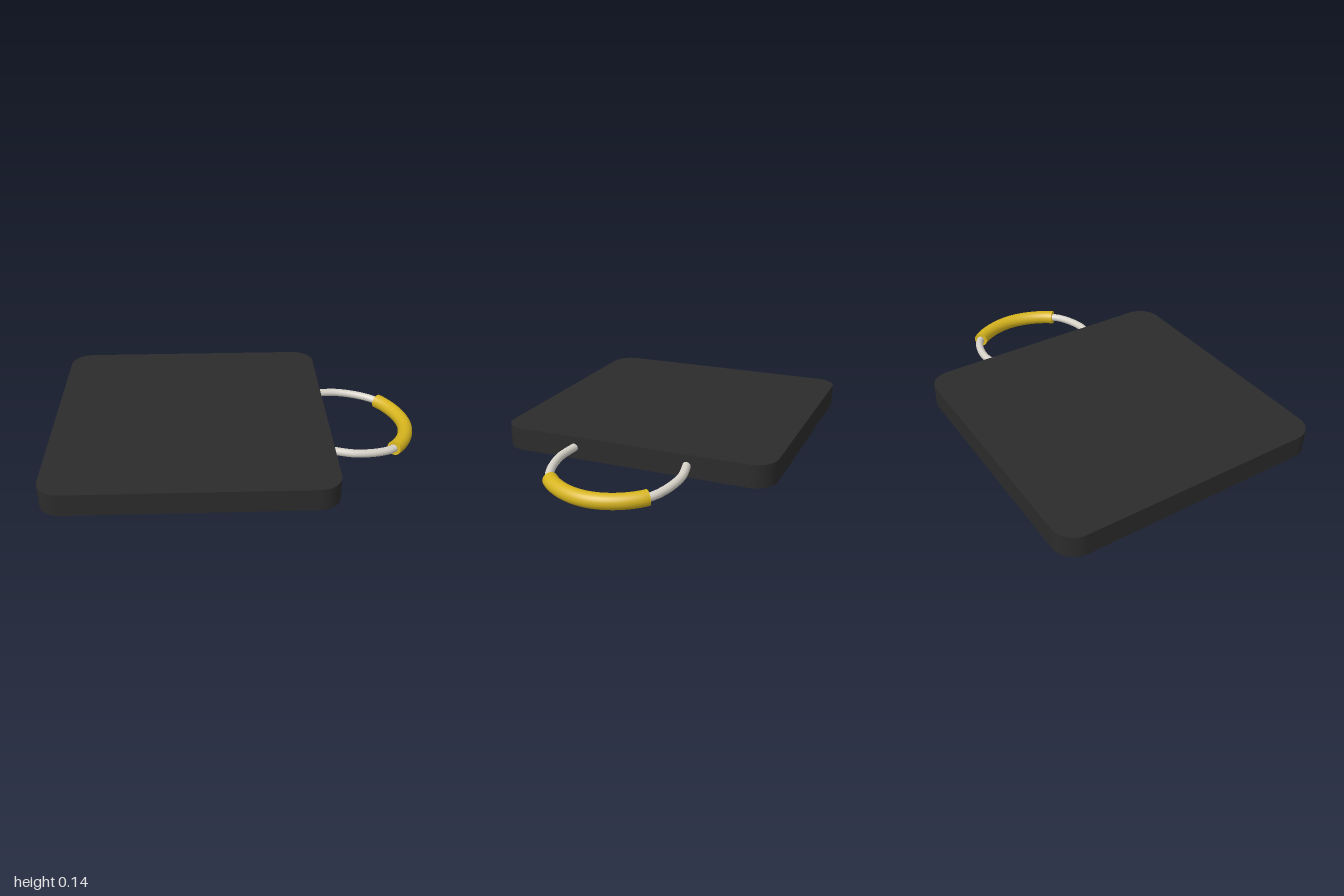
import * as THREE from 'three';

const padMat = new THREE.MeshStandardMaterial({ color: 0x2b2b2b });
padMat.name = 'black plastic';
const ropeMat = new THREE.MeshStandardMaterial({ color: 0xd6d2c8 });
ropeMat.name = 'off-white rope';
const gripMat = new THREE.MeshStandardMaterial({ color: 0xd6b41e });
gripMat.name = 'yellow grip';

function addMesh(parent, name, geometry, material) {
  const mesh = new THREE.Mesh(geometry, material);
  mesh.name = name;
  parent.add(mesh);
  return mesh;
}

// Rounded square slab, extruded upward
function padGeometry(x0, x1, halfZ, r, y0, height) {
  const s = new THREE.Shape();
  s.absarc(x1 - r, halfZ - r, r, 0, Math.PI / 2);
  s.absarc(x0 + r, halfZ - r, r, Math.PI / 2, Math.PI);
  s.absarc(x0 + r, -halfZ + r, r, Math.PI, Math.PI * 1.5);
  s.absarc(x1 - r, -halfZ + r, r, Math.PI * 1.5, Math.PI * 2);
  const geo = new THREE.ExtrudeGeometry(s, { depth: height, bevelEnabled: false, curveSegments: 16 });
  return geo.rotateX(-Math.PI / 2).translate(0, y0, 0);
}

// Flat disc closing a tube end
function addCap(parent, name, point, direction, radius, material) {
  const cap = addMesh(parent, name, new THREE.CircleGeometry(radius, 24), material);
  cap.position.copy(point);
  cap.quaternion.setFromUnitVectors(new THREE.Vector3(0, 0, 1), direction);
}

export function createModel() {
  const model = new THREE.Group();
  model.name = 'outriggerPad';

  addMesh(model, 'pad', padGeometry(-1, 0.503, 0.752, 0.12, 0.018, 0.122), padMat);

  // Half of the drooping handle loop, mirrored across z
  const half = [
    [0.46, 0.085, 0.305], [0.503, 0.08, 0.316], [0.62, 0.07, 0.334], [0.76, 0.058, 0.308],
    [0.847, 0.05, 0.26], [0.927, 0.043, 0.14],
  ].map(p => new THREE.Vector3(...p));
  const mirrored = half.map(p => new THREE.Vector3(p.x, p.y, -p.z)).reverse();
  const points = [...half, new THREE.Vector3(0.957, 0.041, 0), ...mirrored];
  const ropeCurve = new THREE.CatmullRomCurve3(points);

  const handle = new THREE.Group();
  handle.name = 'handle';
  model.add(handle);
  addMesh(handle, 'rope', new THREE.TubeGeometry(ropeCurve, 96, 0.022, 16), ropeMat);

  // Grip sleeve follows the outer part of the rope
  const first = 4 / 12, last = 8 / 12;
  const gripPoints = [];
  for (let i = 0; i <= 16; i++) gripPoints.push(ropeCurve.getPoint(first + (last - first) * i / 16));
  const gripCurve = new THREE.CatmullRomCurve3(gripPoints);
  addMesh(handle, 'grip', new THREE.TubeGeometry(gripCurve, 48, 0.04, 24), gripMat);
  addCap(handle, 'gripFrontEnd', gripCurve.getPoint(0), gripCurve.getTangent(0).negate(), 0.04, gripMat);
  addCap(handle, 'gripBackEnd', gripCurve.getPoint(1), gripCurve.getTangent(1), 0.04, gripMat);

  return model;
}
